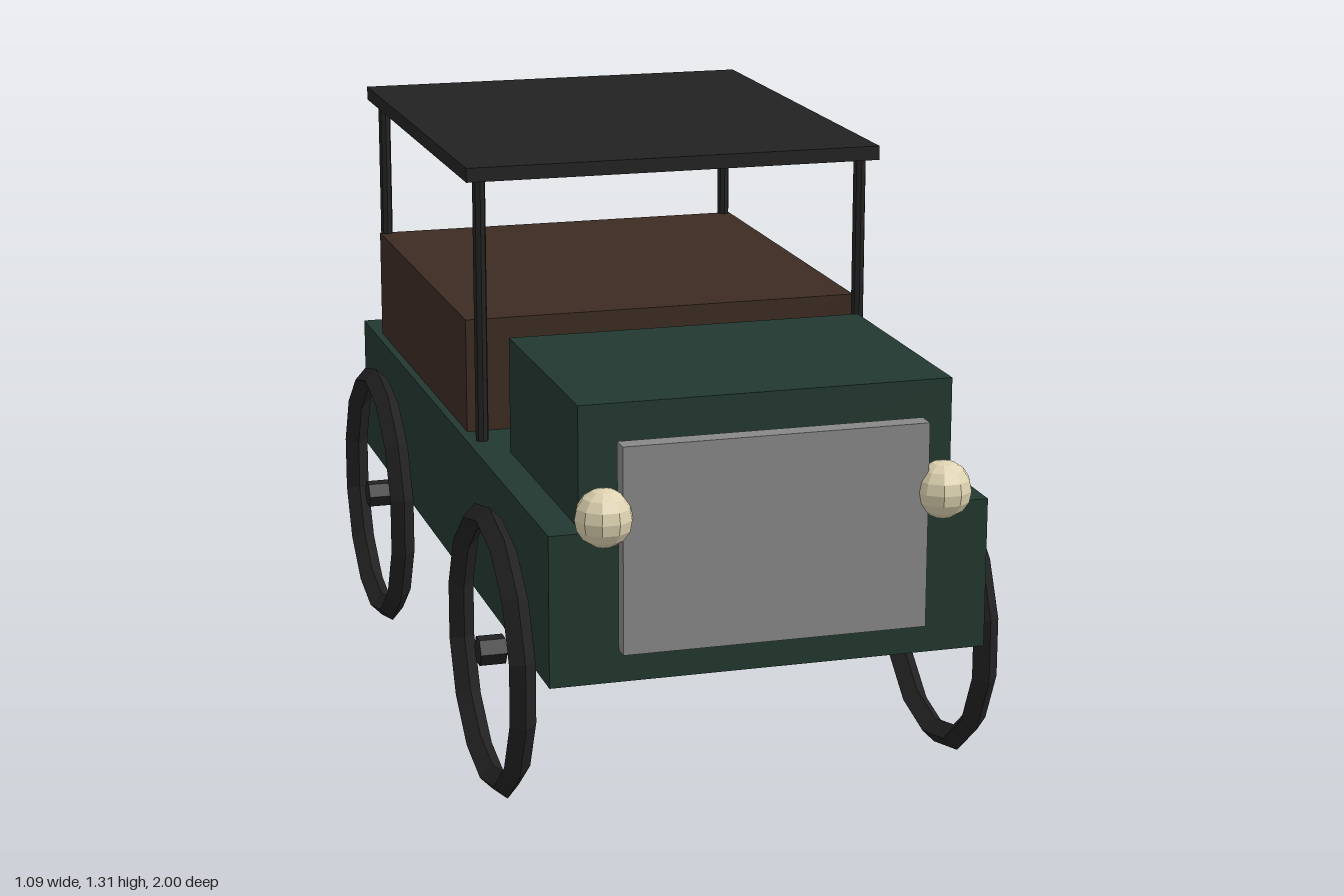
import * as THREE from 'three';

const material = (name, color) => {
  const m = new THREE.MeshStandardMaterial({ color, flatShading: true });
  m.name = name;
  return m;
};

export function createModel() {
  const car = new THREE.Group();
  car.name = 'vintageCar';

  const green = material('dark green paint', 0x22382f);
  const black = material('black', 0x222222);
  const brown = material('brown leather', 0x3c2b22);
  const grey = material('grey metal', 0x888888);
  const cream = material('cream lamp', 0xddd2b0);

  const add = (name, geometry, mat, x = 0, y = 0, z = 0) => {
    const mesh = new THREE.Mesh(geometry, mat);
    mesh.name = name;
    mesh.position.set(x, y, z);
    car.add(mesh);
    return mesh;
  };

  // Box given by half width and its y and z ranges
  const box = (name, mat, halfX, y0, y1, z0, z1) =>
    add(name, new THREE.BoxGeometry(2 * halfX, y1 - y0, z1 - z0), mat, 0, (y0 + y1) / 2, (z0 + z1) / 2);

  // Bodywork
  box('body', green, 0.478, 0.365, 0.693, -1, 0.916);
  box('hood', green, 0.405, 0.69, 0.953, 0.292, 0.88);
  box('seat', brown, 0.46, 0.69, 0.953, -0.856, 0.106);
  box('roof', black, 0.478, 1.288, 1.32, -0.888, 0.216);
  box('radiator', grey, 0.33, 0.435, 0.88, 0.908, 0.952);

  // Shared geometry for the mirrored parts
  const post = new THREE.CylinderGeometry(0.0147, 0.0147, 0.61, 8);
  const lamp = new THREE.SphereGeometry(0.062, 10, 8);
  const tyre = new THREE.TorusGeometry(0.2935, 0.0285, 4, 14).rotateZ(Math.PI / 2).rotateY(Math.PI / 2);
  const hub = new THREE.CylinderGeometry(0.033, 0.033, 0.058, 6).rotateZ(Math.PI / 2);

  for (const [side, s] of [['left', 1], ['right', -1]]) {
    add(side + 'Headlight', lamp, cream, s * 0.367, 0.73, 0.938);
    for (const [end, postZ, wheelZ] of [['Front', 0.182, 0.549], ['Rear', -0.852, -0.667]]) {
      add(side + end + 'RoofPost', post, black, s * 0.443, 0.99, postZ);
      add(side + end + 'Tyre', tyre, black, s * 0.515, 0.328, wheelZ);
      add(side + end + 'Hub', hub, black, s * 0.515, 0.328, wheelZ);
    }
  }

  return car;
}
